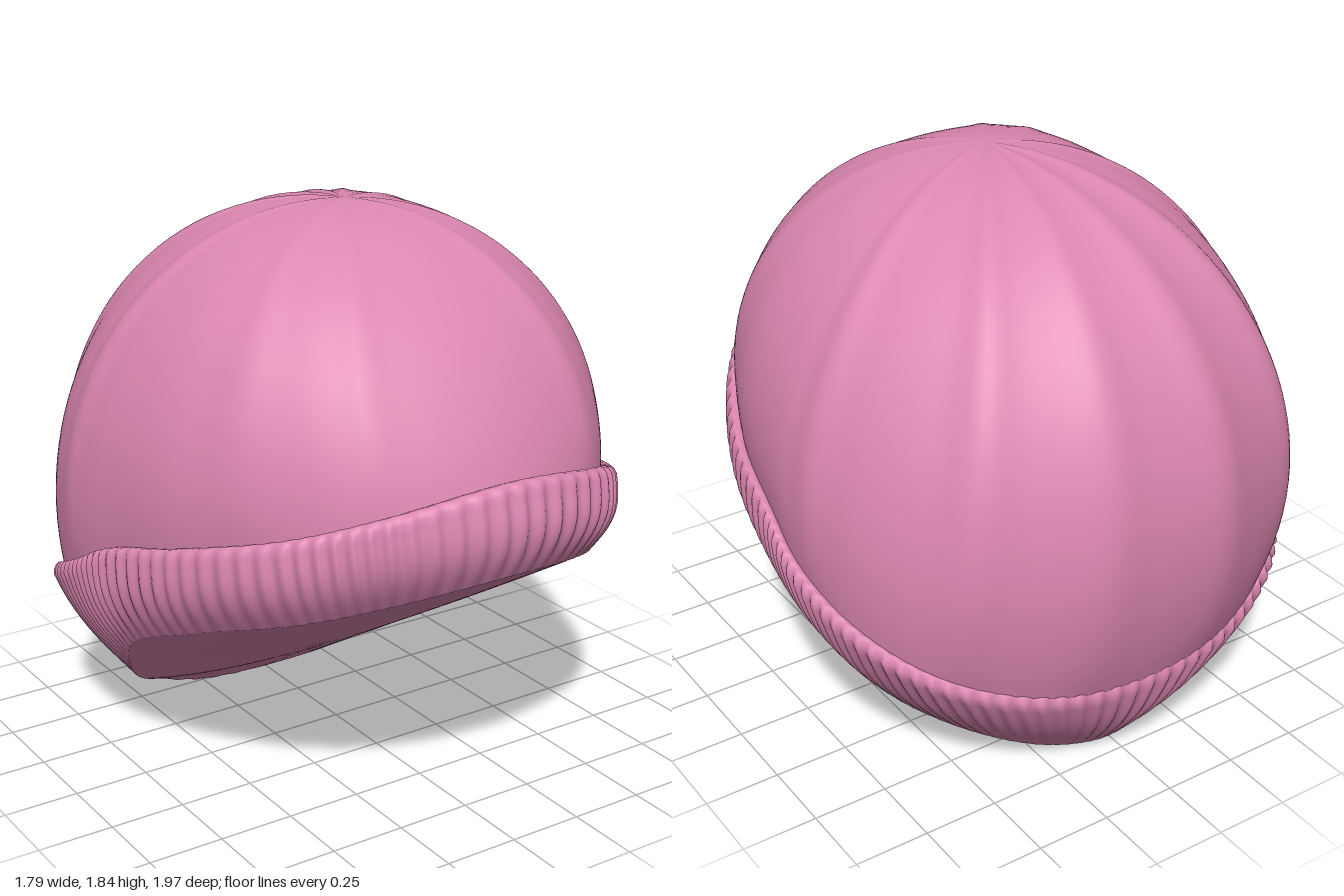
import * as THREE from 'three';
import { mergeVertices } from 'three/addons/utils/BufferGeometryUtils.js';

const COLS = 640, RIBS = 106;
const V = (x, y, z) => new THREE.Vector3(x, y, z);

// Closed, mirrored loop from the points of its left half (front to back).
function loop(half) {
  const left = half.map((p) => V(...p));
  const right = half.slice(1, -1).reverse().map(([x, y, z]) => V(-x, y, z));
  return new THREE.CatmullRomCurve3([...left, ...right], true, 'centripetal');
}

// Upper ridge and lower edge of the folded cuff, with matching stations.
const ridge = loop([
  [0, 1.12, 0.98], [0.4, 1.06, 0.89], [0.62, 0.97, 0.68], [0.8, 0.87, 0.33], [0.87, 0.78, 0],
  [0.885, 0.68, -0.2], [0.83, 0.57, -0.45], [0.67, 0.46, -0.68], [0.37, 0.36, -0.83], [0, 0.33, -0.88],
]);
const hem = loop([
  [0, 0.86, 0.94], [0.35, 0.81, 0.84], [0.55, 0.73, 0.65], [0.72, 0.61, 0.3], [0.77, 0.48, 0],
  [0.7, 0.31, -0.18], [0.6, 0.18, -0.31], [0.4, 0.06, -0.48], [0.2, 0.01, -0.62], [0, 0, -0.68],
]);

// Smooth skin over a grid of points, closed around u.
function skin(name, rows, cols, point, material) {
  const pos = [], index = [];
  for (let j = 0; j <= rows; j++) {
    for (let i = 0; i < cols; i++) pos.push(...point(i / cols, j / rows).toArray());
  }
  for (let j = 0; j < rows; j++) {
    for (let i = 0; i < cols; i++) {
      const a = j * cols + i, b = j * cols + (i + 1) % cols;
      index.push(a, b, b + cols, a, b + cols, a + cols);
    }
  }
  let geometry = new THREE.BufferGeometry();
  geometry.setAttribute('position', new THREE.Float32BufferAttribute(pos, 3));
  geometry.setIndex(index);
  geometry = mergeVertices(geometry, 1e-5);
  geometry.computeVertexNormals();
  const mesh = new THREE.Mesh(geometry, material);
  mesh.name = name;
  return mesh;
}

// Where the crown comes out from behind the cuff.
function crownBase(u) {
  const p = ridge.getPoint(u);
  return V(p.x * 0.96, p.y + 0.02, p.z * (p.z > 0 ? 0.94 : 0.99));
}

// Soft seams of the crown: [station along the half loop, height, width].
const seams = [[1, 0.014, 0.2], [2.4, 0.014, 0.25], [5.2, 0.02, 0.25], [7.2, 0.035, 0.28], [8.4, 0.03, 0.28]];
function seamHeight(u) {
  const station = Math.min(u, 1 - u) * 18;
  return seams.reduce((sum, [s, h, w]) => sum + h * Math.exp(-(((station - s) / w) ** 2)), 0);
}

// Crown: a curved rib from the cuff to the top at every angle.
function crownPoint(u, v) {
  const b = crownBase(u);
  const c1 = V(b.x * 1.09, 1.32 + 0.2 * b.z, b.z * (1.118 - 0.26 * b.z));
  const c2 = V(b.x * 0.63, 1.84, b.z * (0.66 - 0.18 * b.z));
  const p = new THREE.CubicBezierCurve3(b, c1, c2, V(0, 1.84, 0.05)).getPoint(v);
  const k = 1 + seamHeight(u) * Math.sin(Math.PI * v) ** 0.8;
  return v === 1 ? p : V(p.x * k, 0.9 + (p.y - 0.9) * (1 + (k - 1) * 0.4), p.z * k);
}

// Cuff: ribbed and bulging slightly, rolled inward at the top.
function cuffPoint(u, v) {
  const t = Math.min(v / 0.7, 1), roll = Math.max(0, (v - 0.7) / 0.3);
  const p = hem.getPoint(u).lerp(ridge.getPoint(u), t);
  const bulge = 0.035 * Math.sin(Math.PI * t);
  const ribs = 0.009 * Math.cos(u * RIBS * Math.PI * 2) * Math.sin(Math.PI * Math.min(1, 0.04 + v * 0.92));
  const k = 1 + bulge + ribs;
  p.set(p.x * k, p.y, p.z * k);
  if (roll > 0) {
    const end = crownBase(u).multiply(V(0.98, 1, 0.98));
    p.lerp(end, 1 - Math.cos(roll * Math.PI / 2));
    p.y += 0.035 * Math.sin(roll * Math.PI);
  }
  return p;
}

// Underside: a sagging sheet that closes the opening.
const floorY = (z) => (z > -0.42 ? 0.03 + 0.603 * (z + 0.42) : 0.115 * (z + 0.68));
function undersidePoint(u, v) {
  const e = hem.getPoint(u);
  const z = 0.05 + (e.z - 0.05) * v;
  return V(e.x * v, floorY(z) + (e.y - floorY(e.z)) * v ** 2.5, z);
}

export function createModel() {
  const wool = new THREE.MeshStandardMaterial({ color: 0xde88b2 });
  const hat = new THREE.Group();
  hat.name = 'knitHat';
  hat.add(
    skin('crown', 36, 240, crownPoint, wool),
    skin('ribbedCuff', 20, COLS, cuffPoint, wool),
    skin('underside', 14, COLS / 2, undersidePoint, wool),
  );
  return hat;
}
